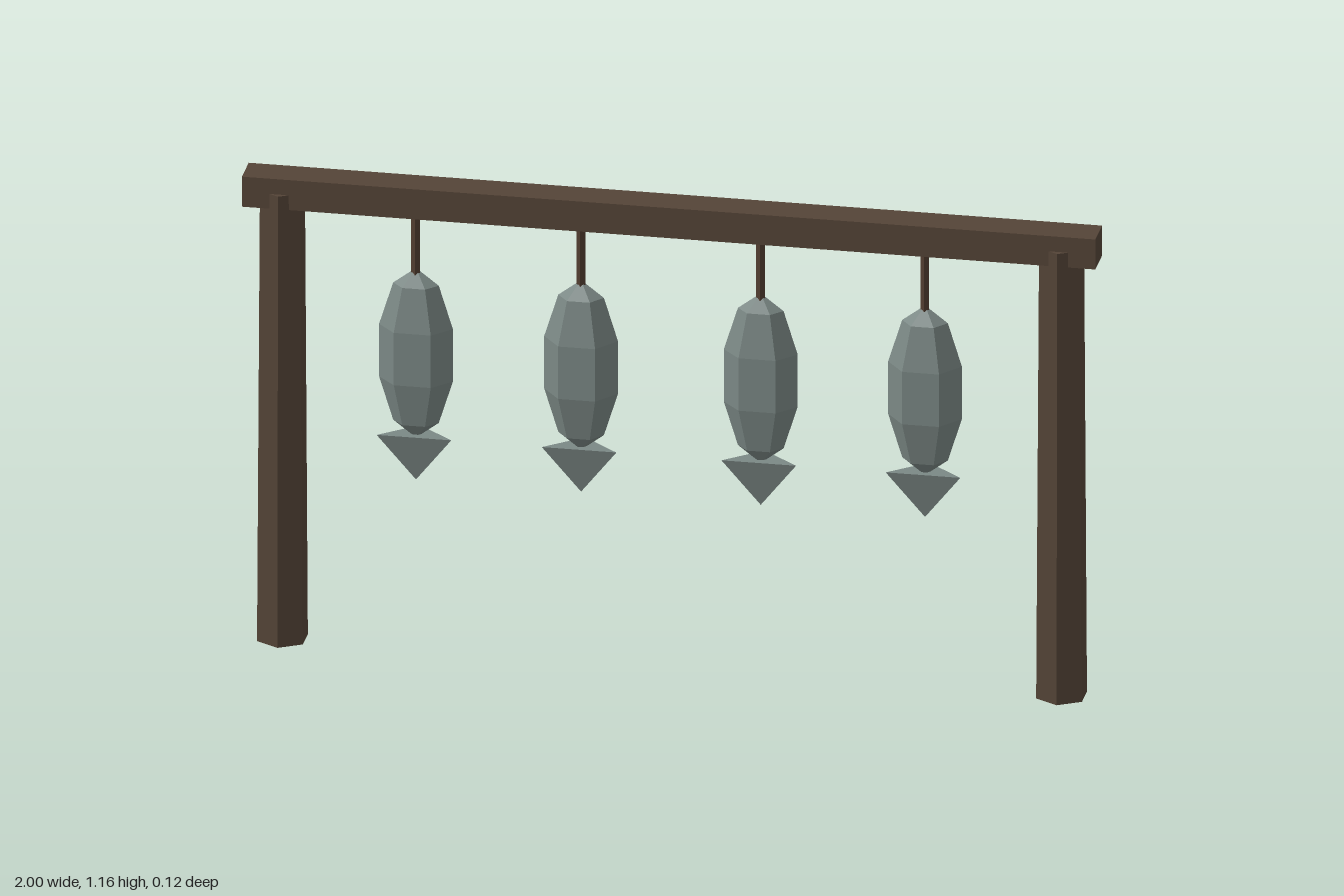
import * as THREE from 'three';

export function createModel() {
  const material = (name, color) => {
    const m = new THREE.MeshStandardMaterial({ color, flatShading: true });
    m.name = name;
    return m;
  };
  const wood = material('dark wood', 0x544437);
  const cordBrown = material('cord brown', 0x513d30);
  const scales = material('grey green fish', 0x7b8885);

  const add = (parent, name, geometry, mat, x, y, z = 0) => {
    const mesh = new THREE.Mesh(geometry, mat);
    mesh.name = name;
    mesh.position.set(x, y, z);
    parent.add(mesh);
    return mesh;
  };

  const rack = new THREE.Group();
  rack.name = 'fishDryingRack';

  // Tapered six-sided posts and the beam across them
  const postGeometry = new THREE.CylinderGeometry(0.055, 0.062, 1.125, 6);
  add(rack, 'leftPost', postGeometry, wood, 0.913, 0.5625);
  add(rack, 'rightPost', postGeometry, wood, -0.913, 0.5625);
  add(rack, 'beam', new THREE.BoxGeometry(2, 0.075, 0.084), wood, 0, 1.1255);

  // Fish hanging head up, every second one a little fatter
  const cordGeometry = new THREE.CylinderGeometry(0.011, 0.011, 0.18, 5);
  const bodyGeometry = new THREE.SphereGeometry(1, 6, 5);
  const tailGeometry = new THREE.ConeGeometry(0.101, 0.115, 3);
  [-0.6, -0.213, 0.208, 0.593].forEach((x, i) => {
    const fish = new THREE.Group();
    fish.name = 'hangingFish';
    fish.position.x = x;
    add(fish, 'cord', cordGeometry, cordBrown, 0, 1.02);
    const body = add(fish, 'fishBody', bodyGeometry, scales, 0, 0.737);
    body.scale.set(0.091, 0.212, i % 2 ? 0.068 : 0.057);
    // Three-sided tail fin pointing down, flat side forward
    const tail = add(fish, 'tailFin', tailGeometry, scales, 0, 0.4775);
    tail.rotation.x = Math.PI;
    tail.scale.z = 0.5;
    rack.add(fish);
  });

  return rack;
}
